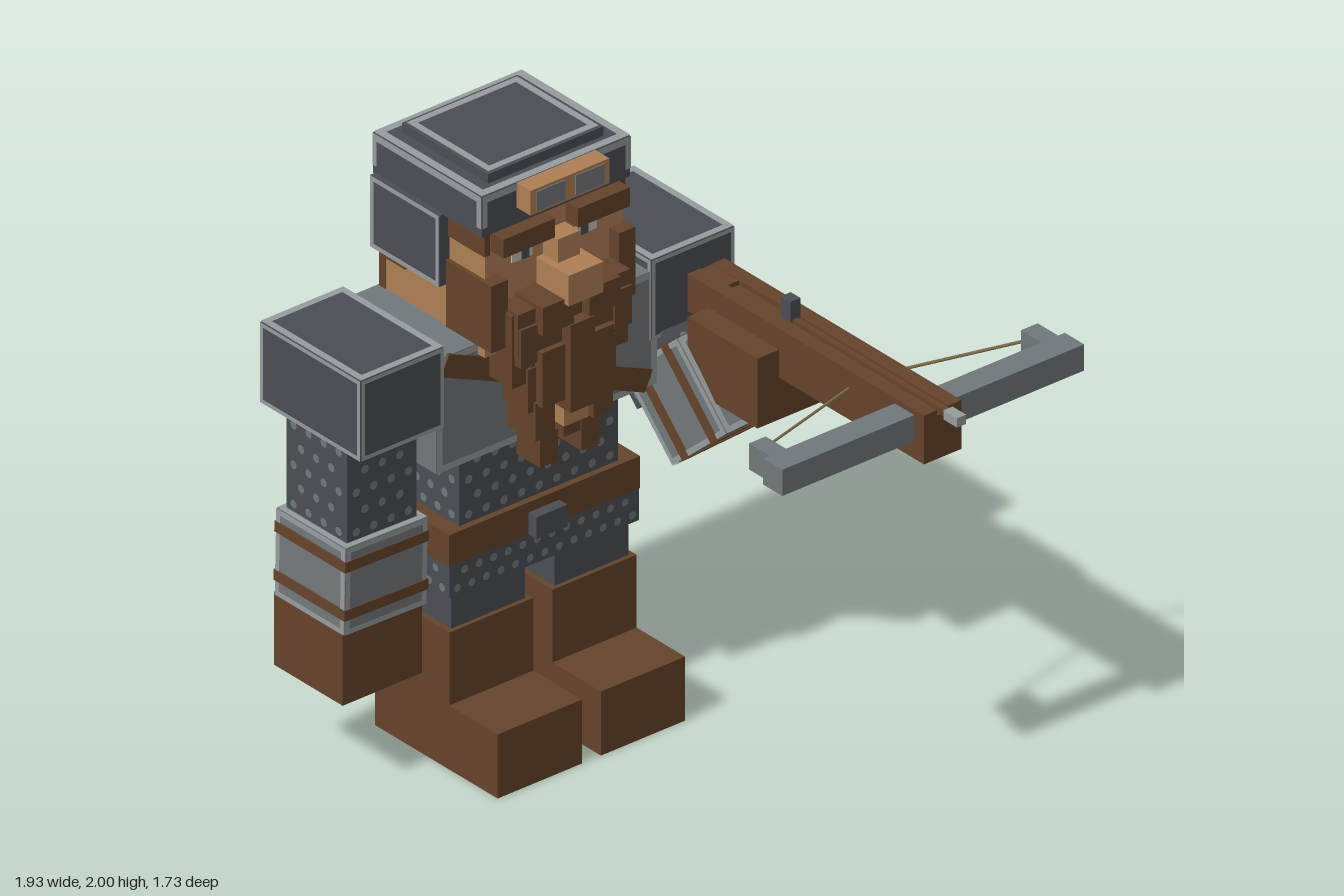
import * as THREE from 'three';
import { mergeGeometries } from 'three/addons/utils/BufferGeometryUtils.js';

const mat = (name, color) => new THREE.MeshStandardMaterial({ name, color });
const M = {
  iron: mat('dark iron', 0x4b4f55),
  steel: mat('steel', 0x72797c),
  trim: mat('light trim', 0x989d9f),
  leather: mat('brown leather', 0x66442b),
  skin: mat('skin', 0xb08055),
  green: mat('shield green', 0x424f31),
  tan: mat('tan string', 0x8a7a57),
  eye: mat('eye white', 0xc4c2b4),
};
const CX = -0.238; // body centre line

// Box given by its min and max on every axis
function box(parent, name, m, x0, x1, y0, y1, z0, z1) {
  const mesh = new THREE.Mesh(new THREE.BoxGeometry(x1 - x0, y1 - y0, z1 - z0), M[m]);
  mesh.position.set((x0 + x1) / 2, (y0 + y1) / 2, (z0 + z1) / 2);
  mesh.name = name;
  parent.add(mesh);
  return mesh;
}

// Lays flat geometry, made for each face's width and height, on the faces of a box
function decorate(mesh, name, m, faces, make) {
  const { width: w, height: h, depth: d } = mesh.geometry.parameters;
  const spec = {
    f: [w, h, d, 0, 0], b: [w, h, d, 0, Math.PI],
    l: [d, h, w, 0, Math.PI / 2], r: [d, h, w, 0, -Math.PI / 2],
    t: [w, d, h, -Math.PI / 2, 0], u: [w, d, h, Math.PI / 2, 0],
  };
  const geos = [...faces].map((k) => {
    const [a, b, depth, rx, ry] = spec[k];
    return make(a, b).translate(0, 0, depth / 2 + 0.003).rotateX(rx).rotateY(ry);
  });
  const plate = new THREE.Mesh(mergeGeometries(geos), M[m]);
  plate.name = name;
  mesh.add(plate);
}

const rect = (x0, x1, y0, y1) => [[x0, y0], [x1, y0], [x1, y1], [x0, y1]].map((p) => new THREE.Vector2(...p));

// Border around a face, optionally inset from its edge
const frame = (t, inset = 0) => (w, h) => {
  const a = w / 2 - inset, b = h / 2 - inset;
  const s = new THREE.Shape(rect(-a, a, -b, b));
  s.holes.push(new THREE.Path(rect(-a + t, a - t, -b + t, b - t).reverse()));
  return new THREE.ShapeGeometry(s);
};

// Staggered rivets of a mail panel
const dots = (step = 0.068, r = 0.015) => (w, h) => {
  const geos = [];
  const rows = Math.max(2, Math.round(h / step)), cols = Math.round(w / step);
  for (let i = 0; i < rows; i++)
    for (let j = 0; j < cols - (i % 2); j++)
      geos.push(new THREE.CircleGeometry(r, 8)
        .translate(((j + 0.5 + (i % 2) / 2) / cols - 0.5) * w, ((i + 0.5) / rows - 0.5) * h, 0));
  return mergeGeometries(geos);
};

// Horizontal stripe across a face, y measured from the face centre
const stripe = (y, t) => (w) => new THREE.PlaneGeometry(w, t).translate(0, y, 0);

function bracer(parent, name, ...size) {
  const b = box(parent, name, 'steel', ...size);
  decorate(b, 'bracerTrim', 'trim', 'fblrtu', frame(0.018));
  for (const y of [0.085, -0.08]) {
    const { width: w, depth: d } = b.geometry.parameters;
    box(b, 'bracerStrap', 'leather', -w / 2 - 0.005, w / 2 + 0.005, y - 0.018, y + 0.018, -d / 2 - 0.005, d / 2 + 0.005);
  }
  return b;
}

function buildBody(g) {
  for (const s of [-1, 1]) {
    const x = CX + s * 0.2;
    const side = s < 0 ? 'right' : 'left';
    box(g, side + 'Foot', 'leather', x - 0.163, x + 0.163, 0, 0.22, -0.345, -0.12);
    box(g, side + 'Boot', 'leather', x - 0.163, x + 0.163, 0, 0.47, -0.69, -0.345);
    box(g, side + 'Leg', 'iron', x - 0.143, x + 0.143, 0.47, 0.6, -0.675, -0.36);
    // Shoulder guards
    const sx = CX + s * 0.563;
    const p = box(g, side + 'ShoulderGuard', 'iron', sx - 0.16, sx + 0.16, 1.2, 1.475, -0.79, -0.325);
    decorate(p, 'shoulderTrim', 'trim', 'fblru', frame(0.014));
    decorate(p, 'shoulderTopTrim', 'trim', 't', frame(0.024));
  }
  // Trunk, belt and skirt
  const skirt = box(g, 'mailSkirt', 'iron', -0.605, 0.13, 0.59, 0.7, -0.765, -0.34);
  decorate(skirt, 'skirtRivets', 'steel', 'fblr', dots(0.058, 0.014));
  box(g, 'belt', 'leather', -0.607, 0.132, 0.7, 0.81, -0.767, -0.338);
  box(g, 'buckle', 'iron', -0.3, -0.18, 0.7, 0.775, -0.34, -0.3);
  const mail = box(g, 'mailShirt', 'iron', -0.55, 0.065, 0.81, 1.05, -0.75, -0.36);
  decorate(mail, 'shirtRivets', 'steel', 'fblr', dots());
  const chest = box(g, 'breastplate', 'steel', -0.665, 0.188, 1.045, 1.435, -0.79, -0.33);
  decorate(chest, 'breastplateTrim', 'trim', 'fb', frame(0.022));
  // Diagonal shoulder strap
  for (const z of [-0.328, -0.793]) {
    const strap = box(g, 'chestStrap', 'leather', -0.67, 0.19, 1.2, 1.275, z - 0.005, z + 0.005);
    strap.rotation.z = -0.41;
  }
}

function buildArms(g) {
  // Right arm hangs down
  const upper = box(g, 'rightUpperArm', 'iron', -0.935, -0.665, 0.86, 1.2, -0.7, -0.42);
  decorate(upper, 'sleeveRivets', 'steel', 'fblr', dots());
  bracer(g, 'rightBracer', -0.963, -0.648, 0.57, 0.865, -0.715, -0.395).rotation.z = -0.02;
  box(g, 'rightGlove', 'leather', -0.968, -0.66, 0.33, 0.58, -0.72, -0.4);
  // Left arm bends forward to hold the crossbow
  const bent = box(g, 'leftUpperArm', 'iron', 0.2, 0.47, 0.96, 1.3, -0.6, -0.3);
  decorate(bent, 'sleeveRivets', 'steel', 'fblr', dots());
  bent.rotation.x = -0.8;
  bent.position.set(0.335, 1.13, -0.45);
  const fore = bracer(g, 'leftBracer', -0.157, 0.157, -0.155, 0.155, -0.16, 0.16);
  fore.rotation.set(0.85, 0.05, -0.05);
  fore.position.set(0.355, 1.01, -0.265);
  box(g, 'leftGlove', 'leather', 0.222, 0.53, 1.065, 1.305, -0.225, 0.1);
}

function buildHead(g) {
  box(g, 'head', 'skin', -0.505, 0.03, 1.4, 1.84, -0.765, -0.295);
  box(g, 'backHair', 'leather', -0.507, 0.032, 1.41, 1.83, -0.785, -0.755);
  for (const s of [-1, 1]) {
    const at = (name, m, a, b, ...yz) => box(g, name, m, CX + Math.min(s * a, s * b), CX + Math.max(s * a, s * b), ...yz);
    at('eyebrow', 'leather', 0.045, 0.245, 1.76, 1.825, -0.3, -0.235);
    at('eyeWhite', 'eye', 0.085, 0.165, 1.69, 1.735, -0.298, -0.291);
    at('pupil', 'iron', 0.1, 0.128, 1.69, 1.735, -0.295, -0.288);
    at('sideHair', 'leather', 0.25, 0.273, 1.75, 1.825, -0.46, -0.29);
    at('napeHair', 'leather', 0.25, 0.273, 1.545, 1.6, -0.765, -0.66);
    at('sideburn', 'leather', 0.215, 0.28, 1.44, 1.67, -0.46, -0.25);
    const flap = at('earFlap', 'iron', 0.265, 0.305, 1.585, 1.83, -0.78, -0.46);
    decorate(flap, 'earFlapTrim', 'trim', s > 0 ? 'l' : 'r', frame(0.016));
    // Beard locks, mirrored
    at('beardCheek', 'leather', 0.13, 0.225, 1.31, 1.56, -0.33, -0.22);
    at('beardLock', 'leather', 0.05, 0.14, 1.23, 1.42, -0.33, -0.18);
    at('beardTip', 'leather', 0.08, 0.17, 1.21, 1.36, -0.33, -0.21);
    at('moustache', 'leather', 0.03, 0.15, 1.49, 1.585, -0.3, -0.165);
    at('moustacheEnd', 'leather', 0.15, 0.215, 1.39, 1.52, -0.3, -0.19);
    at('braid', 'leather', 0.075, 0.15, 1.11, 1.24, -0.33, -0.2);
    at('braidEnd', 'leather', 0.045, 0.115, 1.0, 1.11, -0.33, -0.22);
  }
  box(g, 'beard', 'leather', -0.455, -0.02, 1.42, 1.57, -0.33, -0.2);
  box(g, 'chinBeard', 'leather', -0.39, -0.085, 1.26, 1.45, -0.33, -0.215);
  box(g, 'middleLock', 'leather', -0.285, -0.19, 1.19, 1.49, -0.33, -0.16);
  box(g, 'beardClasp', 'skin', -0.285, -0.19, 1.13, 1.2, -0.33, -0.19);
  box(g, 'lowerLock', 'leather', -0.27, -0.205, 1.08, 1.14, -0.33, -0.21);
  box(g, 'nose', 'skin', -0.305, -0.17, 1.57, 1.675, -0.3, -0.145);
  box(g, 'noseBridge', 'skin', -0.28, -0.195, 1.67, 1.755, -0.3, -0.225);

  // Helmet with raised crown and goggles
  const rim = box(g, 'helmet', 'iron', -0.525, 0.05, 1.825, 1.965, -0.79, -0.285);
  decorate(rim, 'helmetTopTrim', 'trim', 't', frame(0.028));
  decorate(rim, 'helmetBand', 'trim', 'fblr', stripe(0.058, 0.024));
  decorate(rim, 'helmetCorners', 'trim', 'fblr', (w) => mergeGeometries(
    [-1, 1].map((s) => new THREE.PlaneGeometry(0.02, 0.11).translate(s * (w / 2 - 0.01), 0.015, 0))));
  const crown = box(g, 'helmetCrown', 'iron', -0.46, -0.012, 1.965, 1.997, -0.735, -0.335);
  decorate(crown, 'crownTrim', 'trim', 't', frame(0.024, 0.01));
  const goggles = box(g, 'goggles', 'skin', -0.39, -0.085, 1.88, 1.965, -0.285, -0.22);
  for (const x of [-0.075, 0.075]) box(goggles, 'goggleLens', 'steel', x - 0.055, x + 0.055, -0.033, 0.033, 0.03, 0.036);
}

function buildCrossbow(g) {
  box(g, 'stock', 'leather', 0.305, 0.45, 1.21, 1.36, -0.2, 0.775);
  box(g, 'butt', 'leather', 0.305, 0.45, 1.25, 1.375, -0.335, -0.2);
  for (const x of [0.33, 0.425]) box(g, 'rail', 'leather', x - 0.025, x + 0.025, 1.36, 1.378, -0.33, 0.775);
  box(g, 'bolt', 'leather', 0.367, 0.388, 1.36, 1.381, 0.05, 0.81);
  box(g, 'boltHead', 'trim', 0.36, 0.395, 1.355, 1.387, 0.8, 0.863);
  box(g, 'sight', 'iron', 0.358, 0.397, 1.36, 1.445, 0.045, 0.09);
  box(g, 'bow', 'steel', -0.206, 0.963, 1.27, 1.36, 0.64, 0.73);
  for (const s of [-1, 1]) {
    const x = 0.378 + s * 0.527;
    box(g, 'bowTip', 'steel', x - 0.032, x + 0.032, 1.27, 1.36, 0.545, 0.64);
    const path = new THREE.LineCurve3(new THREE.Vector3(x, 1.315, 0.545), new THREE.Vector3(0.378 + s * 0.06, 1.315, 0.42));
    const string = new THREE.Mesh(new THREE.TubeGeometry(path, 1, 0.006, 4), M.tan);
    string.name = 'bowString';
    g.add(string);
  }
}

function buildBack(g) {
  const shield = box(g, 'shield', 'green', -0.628, 0.155, 0.665, 1.385, -0.85, -0.803);
  decorate(shield, 'shieldTrim', 'trim', 'b', frame(0.032));
  decorate(shield, 'shieldEdge', 'trim', 'l', stripe(0, 0.7));
  // Quiver with arrows
  box(g, 'quiver', 'leather', 0.112, 0.285, 0.925, 1.33, -0.86, -0.705);
  box(g, 'quiverBand', 'skin', 0.108, 0.289, 1.02, 1.07, -0.864, -0.701);
  for (const [x, z, y] of [[0.15, -0.8, 1.475], [0.235, -0.81, 1.46], [0.15, -0.755, 1.44]]) {
    box(g, 'arrowShaft', 'tan', x - 0.008, x + 0.008, 1.33, y, z - 0.008, z + 0.008);
    box(g, 'arrowFletching', 'tan', x - 0.02, x + 0.02, y - 0.05, y, z - 0.014, z + 0.014);
  }
}

export function createModel() {
  const model = new THREE.Group();
  model.name = 'armouredCrossbowman';
  const parts = { body: buildBody, arms: buildArms, head: buildHead, crossbow: buildCrossbow, backGear: buildBack };
  for (const [name, build] of Object.entries(parts)) {
    const g = new THREE.Group();
    g.name = name;
    build(g);
    model.add(g);
  }
  return model;
}
